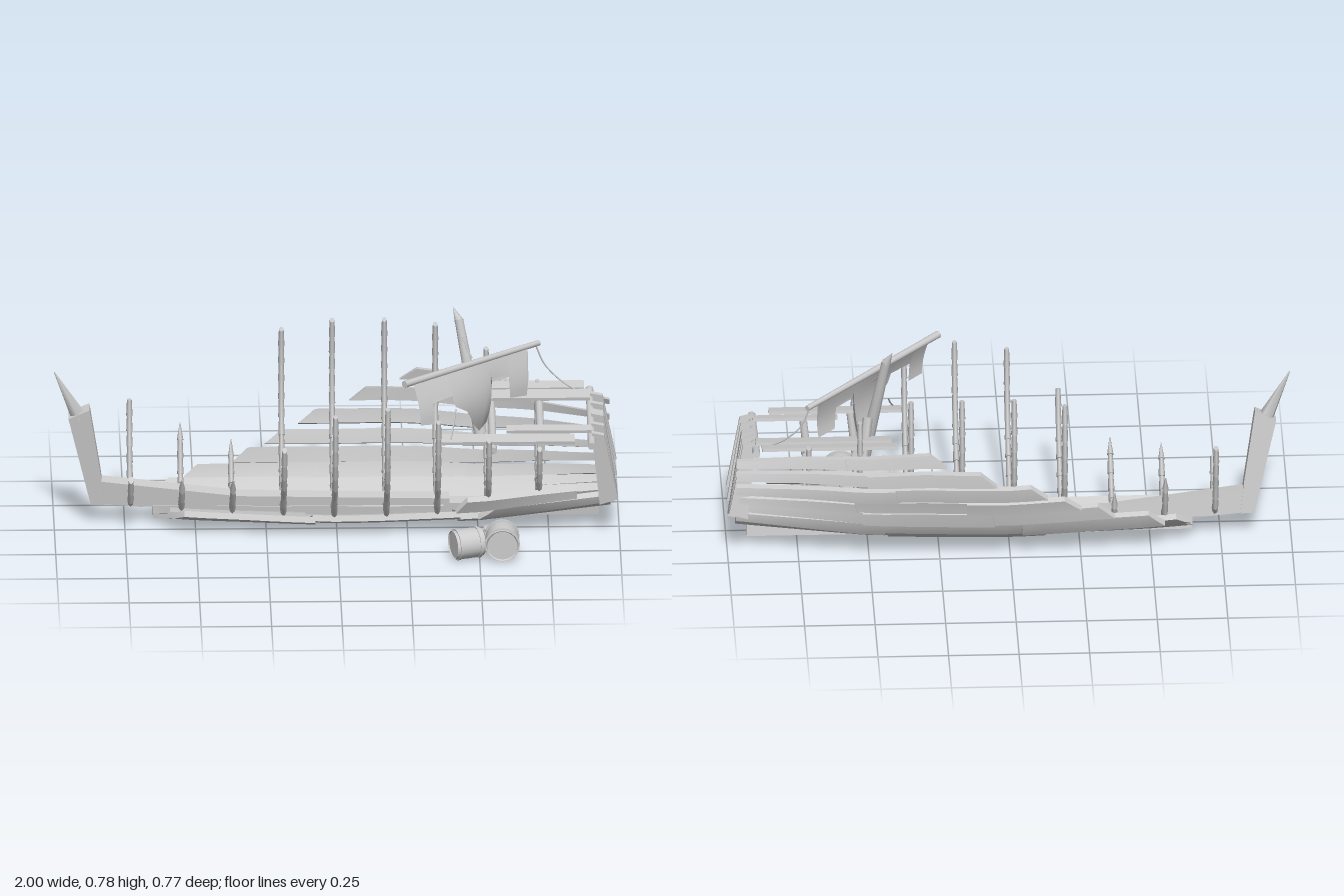
import * as THREE from 'three';
import { toCreasedNormals } from 'three/addons/utils/BufferGeometryUtils.js';

const wood = new THREE.MeshStandardMaterial({ color: 0xcccccc });
const cloth = new THREE.MeshStandardMaterial({ color: 0xcccccc, side: THREE.DoubleSide });
const V = (x, y, z) => new THREE.Vector3(x, y, z);

function add(parent, name, geometry, material = wood) {
  const mesh = new THREE.Mesh(geometry, material);
  mesh.name = name;
  parent.add(mesh);
  return mesh;
}

// Round spar between two points
function rod(parent, name, a, b, r0, r1 = r0, sides = 10) {
  const mesh = add(parent, name, new THREE.CylinderGeometry(r1, r0, a.distanceTo(b), sides));
  mesh.position.copy(a).lerp(b, 0.5);
  mesh.quaternion.setFromUnitVectors(V(0, 1, 0), b.clone().sub(a).normalize());
  return mesh;
}

// Flat board cut in the x-y plane, centred on z
function board(parent, name, pts, thick, z = 0) {
  const shape = new THREE.Shape(pts.map(p => new THREE.Vector2(...p)));
  const g = new THREE.ExtrudeGeometry(shape, { depth: thick, bevelEnabled: false });
  add(parent, name, g.translate(0, 0, z - thick / 2));
}

// Linear interpolation in a table of [x, value] rows
function lookup(table, x) {
  let i = 1;
  while (i < table.length - 1 && x > table[i][0]) i++;
  const [x0, a] = table[i - 1], [x1, b] = table[i];
  return THREE.MathUtils.lerp(a, b, THREE.MathUtils.clamp((x - x0) / (x1 - x0), 0, 1));
}

// Hull lines: half section, half width, depth and keel rise along the length
const section = new THREE.CatmullRomCurve3(
  [[0.03, 0], [0.15, 0.04], [0.232, 0.15], [0.285, 0.225], [0.326, 0.337], [0.345, 0.46], [0.343, 0.58]].map(([z, y]) => V(0, y, z)));
const halfWidth = [[-0.9, 0.17], [-0.73, 0.23], [-0.55, 0.285], [-0.37, 0.31], [-0.19, 0.337], [0, 0.352], [0.175, 0.352], [0.36, 0.33], [0.54, 0.3], [0.72, 0.26], [0.98, 0.19]];
const depth = [[-0.9, 0.54], [-0.3, 0.58], [0.3, 0.57], [0.7, 0.5], [0.98, 0.41]];
const rise = [[-0.9, 0.04], [-0.5, 0.015], [0, 0], [0.5, 0.01], [0.98, 0.06]];

function hullPoint(x, s, side, out = 0) {
  const at = q => {
    const p = section.getPointAt(THREE.MathUtils.clamp(q, 0, 1));
    return V(x, lookup(rise, x) + p.y * lookup(depth, x) / 0.58, p.z * lookup(halfWidth, x) / 0.345);
  };
  const t = at(s + 0.01).sub(at(s - 0.01)).normalize();
  const p = at(s).add(V(0, -t.z, t.y).multiplyScalar(out));
  p.z *= side;
  return p;
}

// Curved plank lapped on the hull, lower edge standing out, with a splintered forward end
function plank(parent, x0, x1, s, side, out, width, tip) {
  const n = Math.max(3, Math.ceil((x1 - x0) / 0.09));
  const g = new THREE.BoxGeometry(1, 1, 1, n, 2, 1);
  const p = g.attributes.position;
  for (let i = 0; i < p.count; i++) {
    const u = p.getX(i) + 0.5, v = p.getY(i), w = p.getZ(i);
    const x = x0 + u * (x1 - x0) + (1 - u) * tip * (v + 0.5);
    const taper = 1 - 0.35 * Math.max(0, (x - 0.4) / 0.58);
    const h = hullPoint(x, Math.max(0.005, s + v * width * taper), side, out - v * 0.012 + w * side * 0.022);
    p.setXYZ(i, h.x, h.y, h.z);
  }
  add(parent, 'hullPlank', toCreasedNormals(g, 0.6));
}

// Rib made of short, slightly uneven timbers up to a world height, optionally splintered
function rib(parent, x, side, top, spike) {
  let end = 1;
  const topAt = s => { const h = hullPoint(x, s, side, -0.02); return 0.05 + h.y * 0.99 - h.z * 0.14; };
  while (end > 0.2 && topAt(end) > top) end -= 0.01;
  const n = Math.max(4, Math.round(end * 11));
  const group = new THREE.Group();
  group.name = 'rib';
  parent.add(group);
  for (let i = 0; i < n; i++) {
    const a = hullPoint(x, end * i / n, side, -0.02);
    const b = hullPoint(x, end * (i + (i < n - 1 ? 1.12 : 1)) / n, side, -0.02);
    const last = spike && i === n - 1;
    const m = rod(group, 'ribTimber', a, b, 0.023, last ? 0.003 : 0.017, 8);
    m.scale.set(0.5, 1, 1);
  }
}

// Lathed barrel along y with hoops
function barrel(parent, name, r, len, pos, rot) {
  const group = new THREE.Group();
  group.name = name;
  const prof = [[0, -0.5], [0.92, -0.5], [0.97, -0.25], [0.98, 0], [0.97, 0.25], [0.92, 0.5], [0.86, 0.46], [0, 0.46]];
  const g = new THREE.LatheGeometry(prof.map(([a, b]) => new THREE.Vector2(a * r, b * len)), 20);
  add(group, 'barrelStaves', toCreasedNormals(g, 0.6));
  for (const k of [-0.36, 0.36]) {
    const hoop = add(group, 'barrelHoop', new THREE.CylinderGeometry(r * 1.02, r * 1.02, len * 0.09, 20));
    hoop.position.y = k * len;
  }
  group.position.copy(pos);
  group.rotation.set(...rot);
  parent.add(group);
}

function rope(parent, pts) {
  const curve = new THREE.CatmullRomCurve3(pts.map(p => V(...p)));
  add(parent, 'rope', new THREE.TubeGeometry(curve, 16, 0.003, 5));
}

export function createModel() {
  const model = new THREE.Group();
  model.name = 'shipwreck';
  const hull = new THREE.Group();
  hull.name = 'hull';
  hull.position.set(0, 0.05, -0.08);
  hull.rotation.x = 0.14;
  model.add(hull);

  // Keel, keelson and bow
  [[-0.65, -0.3, 0.0], [-0.32, 0.04, -0.005], [0.02, 0.4, -0.008], [0.38, 0.93, 0.003]].forEach(([a, b, y]) => {
    const k = add(hull, 'keel', new THREE.BoxGeometry(b - a, 0.048, 0.054));
    k.position.set((a + b) / 2, y, 0);
  });
  board(hull, 'keelson', [[-0.86, 0.035], [-0.7, 0.02], [0.4, 0.02], [0.4, 0.045], [-0.35, 0.06], [-0.86, 0.125]], 0.05);
  board(hull, 'bowPost', [[-0.87, 0.03], [-0.82, 0.03], [-0.835, 0.15], [-0.875, 0.41], [-0.95, 0.375]], 0.055);
  rod(hull, 'bowSplinter', V(-0.91, 0.37, 0), V(-1, 0.55, 0), 0.03, 0.002, 5);

  // Ribs: position, top on the front side, top on the back side, splintered ends
  [[-0.73, 0.22, 0.41, 0], [-0.55, 0.24, 0.31, 1], [-0.37, 0.25, 0.25, 1], [-0.19, 0.4, 0.64, 0], [-0.01, 0.54, 0.69, 0],
    [0.175, 0.57, 0.68, 0], [0.355, 0.51, 0.66, 0], [0.535, 0.42, 0.57, 0], [0.715, 0.37, 0.46, 0]].forEach(([x, f, b, spike]) => {
    rib(hull, x, 1, f, spike);
    rib(hull, x, -1, b, spike);
  });

  // Strakes: side, girth position, forward end, width; each split into butted planks
  [[1, 0.05, -0.65, 0.09], [1, 0.13, -0.6, 0.085], [1, 0.21, 0.5, 0.08], [-1, 0.05, -0.65, 0.09], [-1, 0.13, -0.65, 0.085],
    [-1, 0.21, -0.55, 0.08], [-1, 0.29, -0.37, 0.075], [-1, 0.38, -0.25, 0.07], [-1, 0.48, -0.13, 0.068],
    [-1, 0.585, 0.05, 0.066], [-1, 0.69, 0.23, 0.062]].forEach(([side, s, start, width], i) => {
    const count = Math.max(1, Math.round((0.97 - start) / 0.48));
    const step = (0.97 - start) / count;
    for (let j = 0; j < count; j++) {
      const a = start + j * step;
      plank(hull, a - (j ? 0.02 : 0), a + step, s, side, 0.01 + 0.007 * ((i + j) % 2), width, j ? 0.01 : 0.06);
    }
  });
  plank(hull, 0.42, 0.85, 0.31, 1, 0.01, 0.08, 0.04);

  // Stern posts
  [-0.15, -0.08, -0.01, 0.075, 0.148].forEach((z, i) => {
    const y = 0.035 + Math.abs(z) * 0.35;
    board(hull, 'sternPost', [[0.93, y], [0.995, y + 0.02], [0.945, 0.365], [0.9, 0.375]], i === 2 ? 0.042 : 0.018, z);
  });

  // Deck beams and remaining deck planks
  [[0.55, 0.25], [0.72, 0.23], [0.9, 0.22]].forEach(([x, w]) => rod(hull, 'deckBeam', V(x, 0.35, -w), V(x, 0.35, w - 0.01), 0.014));
  [[0.37, 0.84, 0.19, 0.055], [0.6, 0.9, 0.115, 0.04], [0.42, 0.9, -0.14, 0.06], [0.4, 0.88, -0.21, 0.05]].forEach(([a, b, z, w]) => {
    const d = add(hull, 'deckPlank', new THREE.BoxGeometry(b - a, 0.012, w));
    d.position.set((a + b) / 2, 0.37, z);
    d.rotation.x = 0.06;
  });

  // Broken mast, stump and yard
  rod(model, 'mast', V(0.51, 0.33, -0.065), V(0.435, 0.735, -0.14), 0.024, 0.016);
  rod(model, 'mastSplinter', V(0.435, 0.73, -0.14), V(0.415, 0.775, -0.157), 0.016, 0.001);
  rod(model, 'mastStump', V(0.5, 0.5, -0.12), V(0.52, 0.34, -0.168), 0.018, 0.018, 6);
  rod(model, 'yard', V(0.235, 0.635, 0.255), V(0.72, 0.605, -0.242), 0.013, 0.01);

  // Torn sail: columns of [distance along yard, bottom height]
  const cols = [[0.02, 0.48], [0.065, 0.47], [0.07, 0.545], [0.14, 0.545], [0.145, 0.505], [0.19, 0.47], [0.23, 0.4],
    [0.27, 0.355], [0.292, 0.38], [0.297, 0.535], [0.36, 0.53], [0.365, 0.45], [0.42, 0.44], [0.425, 0.5], [0.44, 0.59]];
  const rows = 6, pos = [], idx = [];
  cols.forEach(([a, low], c) => {
    for (let r = 0; r <= rows; r++) {
      const top = 0.637 - a * 0.07, y = THREE.MathUtils.lerp(top, low, r / rows);
      const belly = 0.14 * (top - y) * Math.sin(a * 14) + 0.05 * Math.sin((top - y) * 11);
      pos.push(0.245 + a * 0.98 + belly * 0.5, y, 0.25 - a + belly * 0.5);
      if (c && r) {
        const k = c * (rows + 1) + r, l = k - rows - 1;
        idx.push(l - 1, l, k - 1, l, k, k - 1);
      }
    }
  });
  const sail = new THREE.BufferGeometry();
  sail.setAttribute('position', new THREE.Float32BufferAttribute(pos, 3));
  sail.setIndex(idx);
  sail.computeVertexNormals();
  add(model, 'sail', sail, cloth);

  // Rigging
  rope(model, [[0.44, 0.69, -0.125], [0.46, 0.65, -0.09], [0.48, 0.615, -0.06]]);
  rope(model, [[0.71, 0.6, -0.23], [0.74, 0.53, -0.232], [0.8, 0.47, -0.22], [0.87, 0.43, -0.2]]);
  rope(model, [[0.42, 0.475, 0.08], [0.41, 0.43, 0.13], [0.4, 0.395, 0.18]]);

  // Barrels and pot on the ground
  barrel(model, 'barrel', 0.061, 0.118, V(0.58, 0.065, 0.312), [Math.PI / 2, 0, 0]);
  barrel(model, 'tippedBarrel', 0.055, 0.105, V(0.455, 0.056, 0.315), [0, 0.35, Math.PI / 2]);
  const pot = add(model, 'pot', new THREE.LatheGeometry(
    [[0, -0.04], [0.025, -0.04], [0.044, -0.01], [0.042, 0.015], [0.025, 0.034], [0.03, 0.044], [0, 0.044]].map(p => new THREE.Vector2(...p)), 18));
  pot.position.set(0.545, 0.045, 0.235);
  return model;
}
